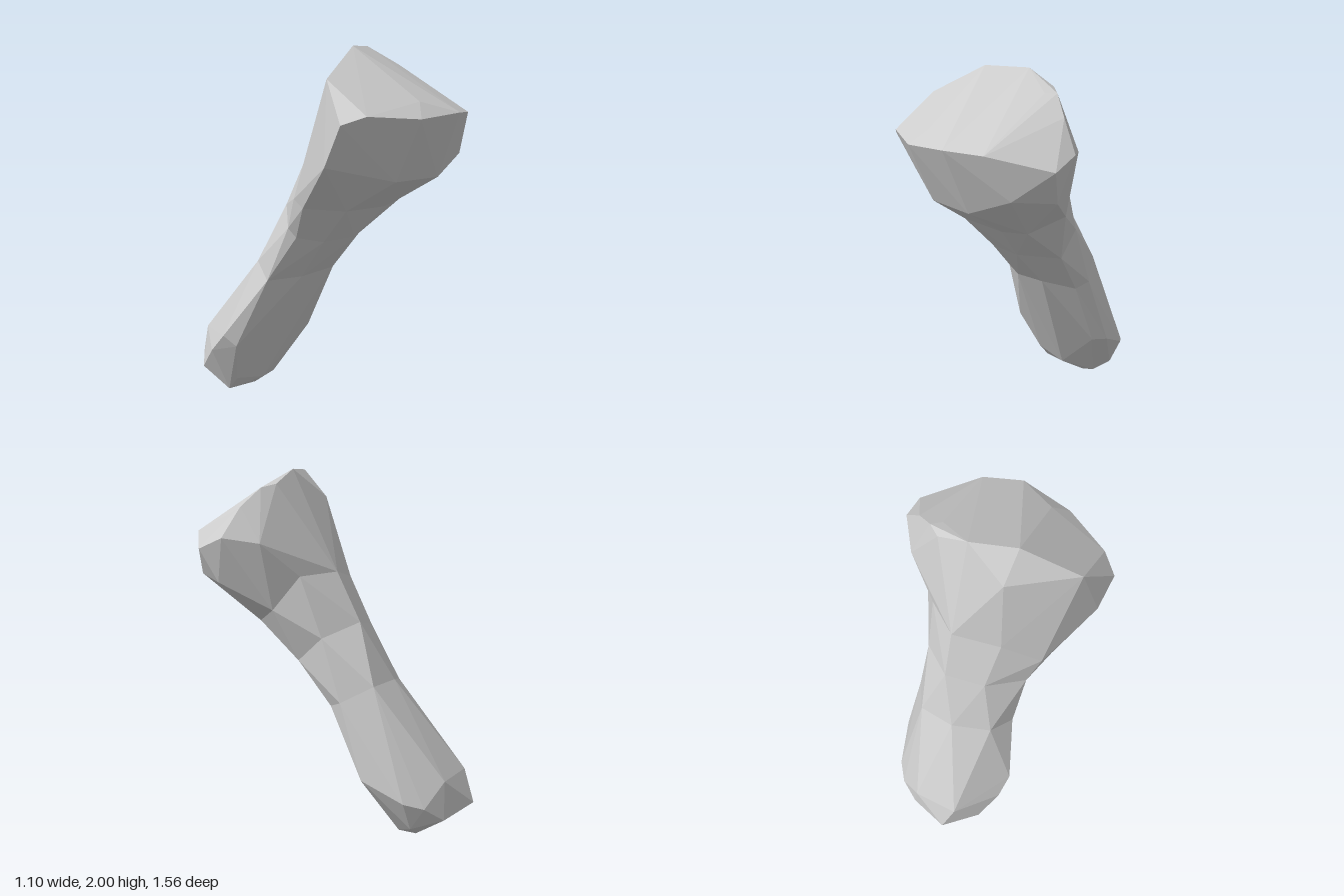
import * as THREE from 'three';
import { ConvexGeometry } from 'three/addons/geometries/ConvexGeometry.js';

// Irregular sections shared by neighbouring parts, each starting at the front
const WAIST = [
  [0.02, 0.77, 0.00], [-0.20, 0.75, -0.03], [-0.37, 0.74, -0.13], [-0.30, 0.82, -0.27],
  [-0.10, 0.86, -0.36], [0.10, 0.85, -0.35], [0.20, 0.76, -0.20], [0.17, 0.73, -0.12],
];
const MIDDLE = [
  [0.00, 0.97, 0.18], [-0.22, 0.97, 0.15], [-0.34, 1.00, 0.06], [-0.36, 1.05, 0.02],
  [-0.19, 1.14, -0.15], [0.02, 1.18, -0.21], [0.20, 1.10, -0.08], [0.22, 0.97, 0.06],
];
const NECK = [
  [0.05, 1.15, 0.34], [-0.25, 1.16, 0.33], [-0.42, 1.18, 0.18], [-0.40, 1.22, 0.10],
  [-0.20, 1.40, 0.00], [0.05, 1.45, -0.08], [0.23, 1.43, 0.04], [0.33, 1.25, 0.15],
  [0.22, 1.17, 0.32],
];

// Rounded lower end
const FOOT = [
  // underside
  [-0.36, 0.04, -0.46], [-0.10, 0.00, -0.51], [0.02, 0.05, -0.47], [0.07, 0.09, -0.57],
  // back end
  [-0.03, 0.14, -0.72], [-0.26, 0.19, -0.78], [-0.42, 0.16, -0.61], [0.08, 0.22, -0.66],
  [-0.05, 0.35, -0.71], [-0.30, 0.36, -0.70],
  // sides
  [0.15, 0.25, -0.57], [0.22, 0.36, -0.35], [-0.48, 0.30, -0.47], [-0.49, 0.41, -0.36],
  // front
  [-0.16, 0.08, -0.38], [-0.36, 0.12, -0.39], [-0.45, 0.35, -0.30], [0.15, 0.35, -0.30],
  [-0.22, 0.47, -0.20], [0.12, 0.56, -0.22],
];

// Flared head with its slanted top
const HEAD = [
  // rim, from the left side round the front
  [0.55, 1.58, 0.47], [0.30, 1.66, 0.70], [0.10, 1.67, 0.78], [-0.19, 1.65, 0.75],
  [-0.45, 1.67, 0.62], [-0.55, 1.63, 0.54], [-0.44, 1.84, 0.36], [-0.13, 2.00, 0.27],
  [0.10, 2.00, 0.18], [0.26, 1.92, 0.17], [0.33, 1.90, 0.22], [0.43, 1.80, 0.28],
  [0.54, 1.64, 0.32],
  // slanted top
  [-0.11, 1.73, 0.68], [0.28, 1.90, 0.26],
  // lower edge and back
  [-0.54, 1.42, 0.43], [-0.19, 1.33, 0.60], [0.12, 1.33, 0.64], [0.38, 1.43, 0.60],
  [0.49, 1.40, 0.39], [0.42, 1.61, 0.16], [-0.13, 1.85, 0.12],
];

export function createModel() {
  const group = new THREE.Group();
  group.name = 'leaningFacetedStem';
  const material = new THREE.MeshStandardMaterial({ color: 0xcccccc, flatShading: true });

  // Each part is the faceted skin stretched over its points
  const addPart = (name, ...sets) => {
    const points = sets.flat().map((p) => new THREE.Vector3(...p));
    const mesh = new THREE.Mesh(new ConvexGeometry(points), material);
    mesh.name = name;
    group.add(mesh);
  };

  addPart('foot', FOOT, WAIST);
  addPart('lowerShaft', WAIST, MIDDLE);
  addPart('upperShaft', MIDDLE, NECK);
  addPart('head', NECK, HEAD);
  return group;
}
